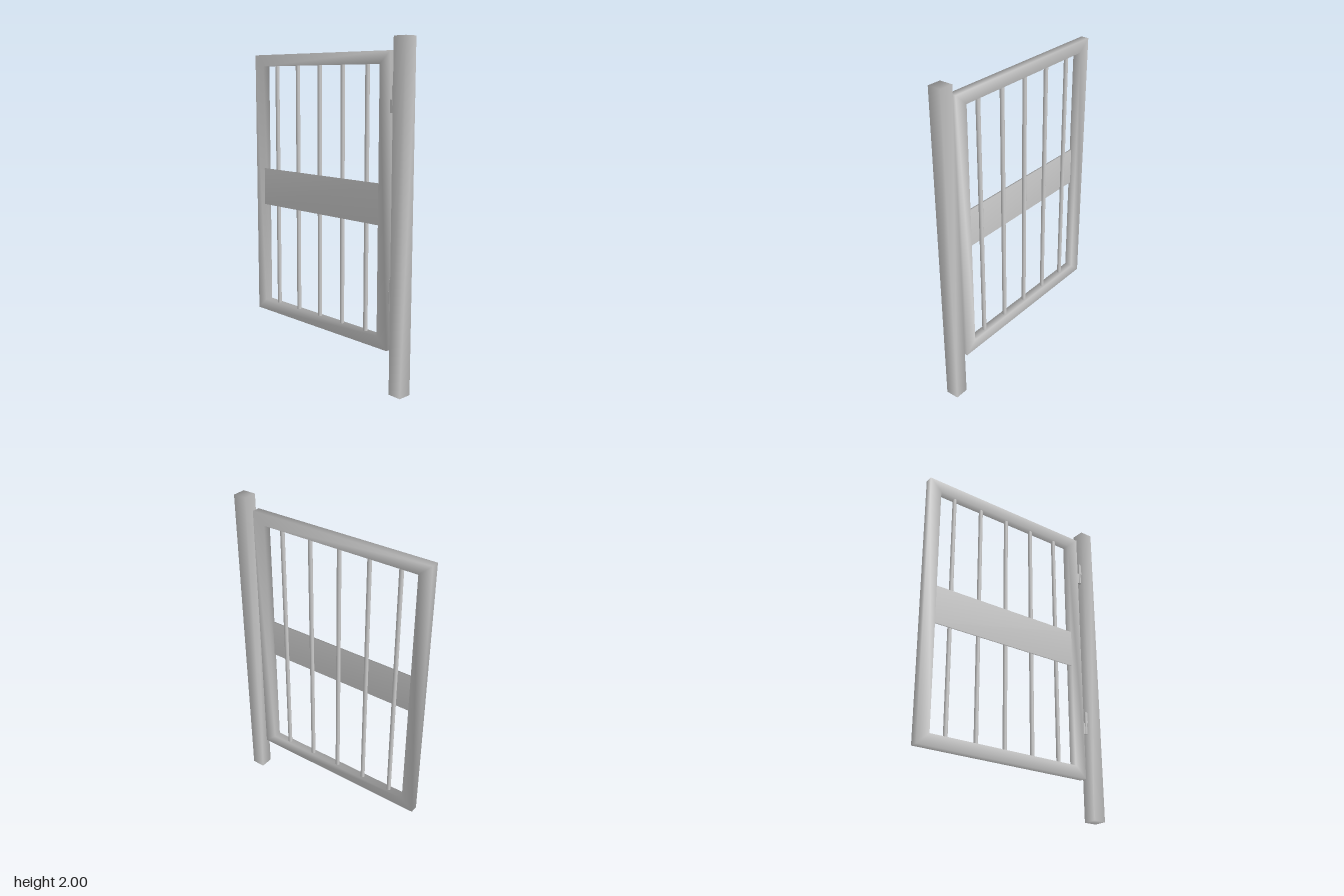
import * as THREE from 'three';
import { mergeVertices } from 'three/addons/utils/BufferGeometryUtils.js';

const material = new THREE.MeshStandardMaterial({ color: 0xcccccc });

export function createModel() {
  const group = new THREE.Group();
  const add = (name, geometry, x = 0, y = 0, z = 0) => {
    const mesh = new THREE.Mesh(geometry, material);
    mesh.name = name;
    mesh.position.set(x, y, z);
    group.add(mesh);
  };

  // Box whose normals are blended around its corners
  const softBox = (w, h, d) => {
    const box = new THREE.BoxGeometry(w, h, d);
    box.deleteAttribute('normal');
    box.deleteAttribute('uv');
    const merged = mergeVertices(box);
    merged.computeVertexNormals();
    return merged;
  };

  // Mitred rectangular ring: a four-point section swept round four corners
  const ringFrame = (w, h, stile, rail, depth) => {
    const positions = [], index = [];
    for (const [sx, sy] of [[-1, -1], [1, -1], [1, 1], [-1, 1]]) {
      for (const [inset, sz] of [[0, -1], [0, 1], [1, 1], [1, -1]]) {
        positions.push(sx * (w / 2 - inset * stile), sy * (h / 2 - inset * rail), sz * depth / 2);
      }
    }
    for (let i = 0; i < 4; i++) {
      for (let j = 0; j < 4; j++) {
        const n = (i + 1) % 4, k = (j + 1) % 4;
        const a = i * 4 + j, b = n * 4 + j, c = n * 4 + k, d = i * 4 + k;
        index.push(a, b, c, a, c, d);
      }
    }
    const geometry = new THREE.BufferGeometry();
    geometry.setAttribute('position', new THREE.Float32BufferAttribute(positions, 3));
    geometry.setIndex(index);
    geometry.computeVertexNormals();
    return geometry;
  };

  // Fixed post
  add('post', softBox(0.085, 2, 0.083), 0.604, 1, 0);

  // Gate leaf
  add('gateFrame', ringFrame(1.172, 1.68, 0.078, 0.07, 0.05), -0.061, 1.086, 0);
  add('middlePanel', softBox(1.018, 0.236, 0.011), -0.062, 1.083, 0.0185);

  // Upright bars
  for (let i = 0; i < 5; i++) {
    add('bar', new THREE.CylinderGeometry(0.013, 0.013, 1.56, 16), -0.457 + i * 0.1975, 1.086, 0);
  }

  // Hinges: lower knuckle joined to the gate, upper knuckle to the post
  for (const y of [0.6, 1.667]) {
    for (const side of [-1, 1]) {
      const cy = y + side * 0.0365;
      add('hingeKnuckle', new THREE.CylinderGeometry(0.008, 0.008, 0.073, 16), 0.546, cy, 0.02);
      add('hingeLeaf', new THREE.BoxGeometry(0.022, 0.073, 0.004), 0.546 + side * 0.013, cy, 0.02);
    }
  }
  return group;
}
